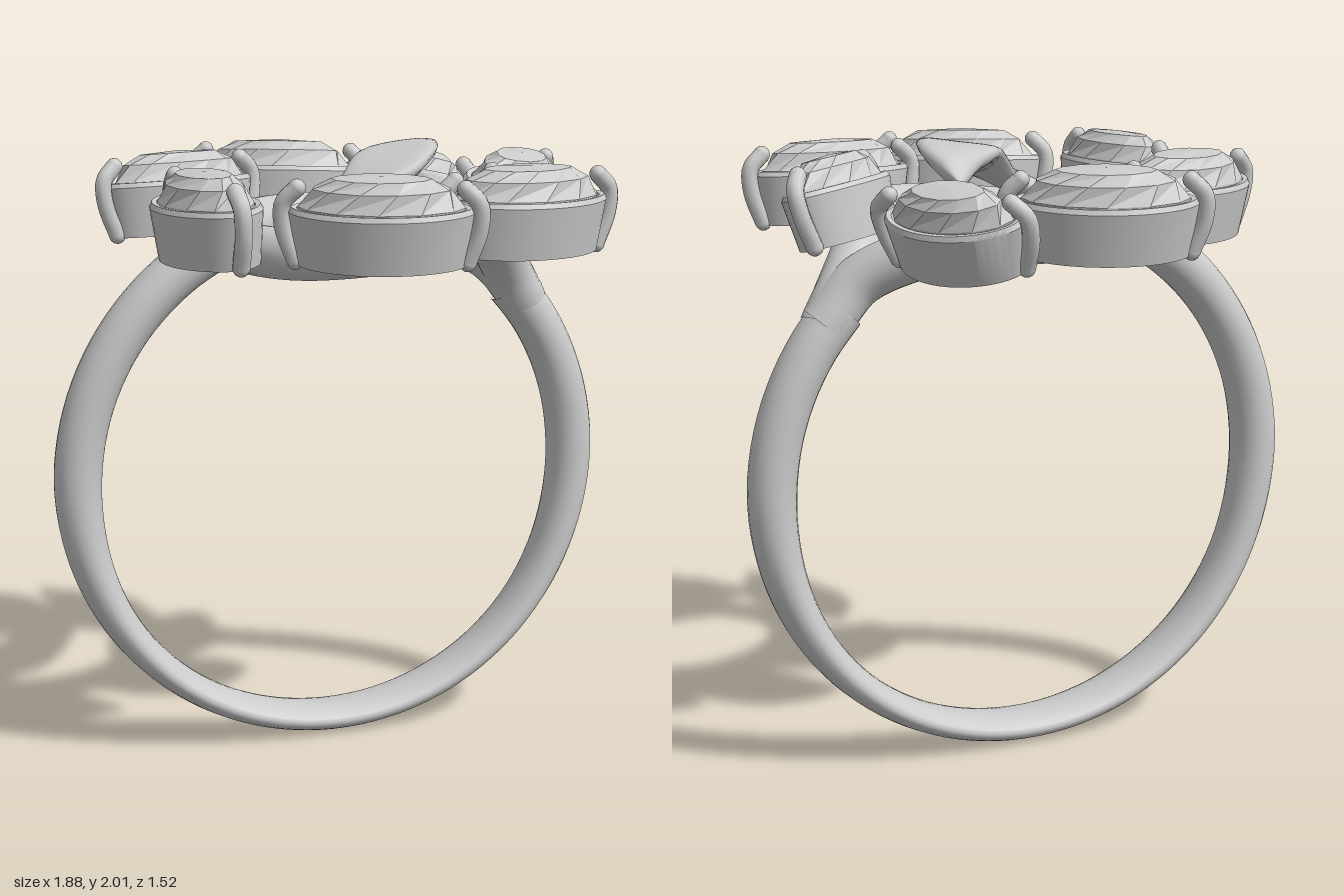
import * as THREE from 'three';
import { toCreasedNormals } from 'three/addons/utils/BufferGeometryUtils.js';

const V = (x, y, z) => new THREE.Vector3(x, y, z);
const metal = new THREE.MeshStandardMaterial({ color: 0xcccccc });
const faceted = new THREE.MeshStandardMaterial({ color: 0xcccccc, flatShading: true });

// Skin a list of equal-sized closed loops
function loft(rings) {
  const n = rings[0].length, pos = [], idx = [];
  rings.forEach(r => r.forEach(p => pos.push(p.x, p.y, p.z)));
  for (let i = 0; i < rings.length - 1; i++) {
    for (let j = 0; j < n; j++) {
      const a = i * n + j, b = i * n + (j + 1) % n;
      idx.push(a, b, b + n, a, b + n, a + n);
    }
  }
  const g = new THREE.BufferGeometry();
  g.setAttribute('position', new THREE.Float32BufferAttribute(pos, 3));
  g.setIndex(idx);
  g.computeVertexNormals();
  return g;
}

function mesh(name, geometry, material = metal) {
  const m = new THREE.Mesh(geometry, material);
  m.name = name;
  return m;
}

// Sweep an ellipse along a curve; size(t) gives [half size across, half size along up]
function sweep(curve, steps, up, size, sides = 20) {
  const rings = [];
  for (let i = 0; i <= steps; i++) {
    const t = i / steps, p = curve.getPoint(t), T = curve.getTangent(t);
    const B = up.clone().addScaledVector(T, -up.dot(T)).normalize();
    const A = B.clone().cross(T);
    const [ra, rb] = size(t);
    rings.push(Array.from({ length: sides }, (_, j) => {
      const a = j / sides * Math.PI * 2;
      return p.clone().addScaledVector(A, ra * Math.cos(a)).addScaledVector(B, rb * Math.sin(a));
    }));
  }
  return loft(rings);
}

// Pointed oval loop in the xz plane
function marquise(a, b, y, n, shift = 0) {
  return Array.from({ length: n }, (_, j) => {
    const t = (j + shift) / n * Math.PI * 2, s = Math.sin(t);
    return V(a * Math.cos(t), y, -b * s * Math.pow(Math.abs(s), 0.2));
  });
}

// Finger band: round at the sides, thinner and wider at the bottom
function makeBand() {
  const pts = [];
  for (let i = 0; i <= 32; i++) {
    const a = THREE.MathUtils.degToRad(118 + (402 - 118) * i / 32);
    const k = THREE.MathUtils.smoothstep(-Math.sin(a), -0.1, 1);
    const r = 0.863 + 0.032 * k - 0.025 * Math.max(0, Math.sin(a));
    pts.push(V(r * Math.cos(a), 0.94 + r * Math.sin(a), -0.1));
  }
  const curve = new THREE.CatmullRomCurve3(pts);
  return mesh('band', sweep(curve, 96, V(0, 0, 1), t => {
    const a = THREE.MathUtils.degToRad(118 + 284 * t);
    const k = THREE.MathUtils.smoothstep(-Math.sin(a), -0.1, 1);
    return [0.078 - 0.032 * k, 0.081 + 0.019 * k];
  }));
}

// Loop that rises from the band, circles the head and returns to the band
function makeSwirl() {
  const curve = new THREE.CatmullRomCurve3([
    [0.68, 1.46, -0.1], [0.57, 1.59, -0.11], [0.43, 1.67, -0.19], [0.26, 1.72, -0.31],
    [0.05, 1.73, -0.36], [-0.2, 1.73, -0.27], [-0.335, 1.71, -0.08], [-0.34, 1.7, 0.1],
    [-0.22, 1.7, 0.29], [0, 1.72, 0.385], [0.22, 1.74, 0.35], [0.41, 1.74, 0.2],
    [0.51, 1.68, 0.03], [0.61, 1.56, -0.07], [0.68, 1.45, -0.1],
  ].map(p => V(...p)));
  return mesh('swirl', sweep(curve, 120, V(0, 1, 0), () => [0.082, 0.08]));
}

// Arched crescent leaf across the opening, slightly hollow on top
function makeLeaf() {
  const outer = new THREE.CatmullRomCurve3([
    [-0.32, 1.7, 0.14], [-0.22, 1.79, 0.27], [-0.07, 1.87, 0.335], [0.13, 1.94, 0.295],
    [0.26, 1.98, 0.14], [0.345, 1.99, -0.05], [0.37, 1.97, -0.2], [0.33, 1.91, -0.34],
  ].map(p => V(...p)));
  const inner = new THREE.CatmullRomCurve3([
    [-0.31, 1.7, 0.1], [-0.23, 1.76, 0.16], [-0.12, 1.83, 0.18], [-0.04, 1.91, 0.11],
    [0.03, 1.95, 0], [0.11, 1.96, -0.12], [0.21, 1.95, -0.23], [0.32, 1.9, -0.34],
  ].map(p => V(...p)));
  const rings = [];
  for (let i = 0; i <= 48; i++) {
    const t = i / 48, o = outer.getPoint(t), n = inner.getPoint(t);
    const w = o.distanceTo(n);
    rings.push(Array.from({ length: 20 }, (_, j) => {
      const a = j / 20 * Math.PI * 2, u = (1 - Math.cos(a)) / 2;
      const p = o.clone().lerp(n, u);
      p.y -= Math.sin(a) * Math.min(0.045, w * 0.4) + 0.1 * w * 4 * u * (1 - u);
      return p;
    }));
  }
  const leaf = mesh('leaf', loft(rings));
  leaf.material = metal.clone();
  leaf.material.side = THREE.DoubleSide;
  return leaf;
}

// One pointed-oval setting with its stone and two claws; rim level is y = 0
function makeSetting(a, b) {
  const g = new THREE.Group();
  const n = 48, h = -0.17;
  const cup = [
    marquise(0.07, 0.05, h, n), marquise(a * 0.9, b * 0.88, h, n),
    marquise(a - 0.003, b - 0.003, -0.01, n), marquise(a - 0.012, b - 0.012, 0.005, n),
    marquise(a - 0.028, b - 0.028, 0.002, n), marquise(a - 0.034, b - 0.034, -0.03, n),
    marquise(0.07, 0.05, h + 0.04, n), marquise(0.07, 0.05, h, n),
  ];
  g.add(mesh('cup', toCreasedNormals(loft(cup), 0.6)));

  const sa = a - 0.03, sb = b - 0.03, m = 12;
  const gem = [
    marquise(0.001, 0.001, -0.14, m), marquise(sa, sb, -0.02, m), marquise(sa, sb, 0.005, m),
    marquise(sa * 0.84, sb * 0.82, 0.06, m, 0.5), marquise(sa * 0.6, sb * 0.58, 0.09, m, 1),
    marquise(0.001, 0.001, 0.097, m, 1),
  ];
  g.add(mesh('stone', loft(gem).toNonIndexed(), faceted));

  for (const s of [-1, 1]) {
    const path = new THREE.CatmullRomCurve3([
      V(s * (a * 0.9 + 0.005), h + 0.01, 0), V(s * (a + 0.012), -0.06, 0),
      V(s * (a + 0.012), 0.015, 0), V(s * (a - 0.03), 0.06, 0),
    ]);
    g.add(mesh('claw', new THREE.TubeGeometry(path, 14, 0.027, 10)));
    for (const t of [0, 1]) {
      const tip = mesh('clawTip', new THREE.SphereGeometry(0.027, 10, 8));
      tip.position.copy(path.getPoint(t));
      g.add(tip);
    }
  }
  return g;
}

export function createModel() {
  const model = new THREE.Group();
  model.name = 'ring';
  model.add(makeBand(), makeSwirl(), makeLeaf());

  // Claw positions (x, z, x, z), half width, rim height, outward tilt
  const settings = [
    [-0.71, -0.24, -0.19, -0.42, 0.155, 1.87, 0.1],
    [-0.29, -0.71, 0.22, -0.47, 0.155, 1.87, 0.12],
    [0.26, -0.65, 0.56, -0.31, 0.13, 1.83, 0.4],
    [0.77, -0.15, 0.39, 0.24, 0.155, 1.87, 0.25],
    [0.17, 0.47, 0.72, 0.43, 0.16, 1.87, 0.06],
    [-0.33, 0.47, 0.18, 0.69, 0.155, 1.87, 0.1],
    [-0.56, 0.015, -0.5, 0.57, 0.158, 1.87, 0.06],
  ];
  for (const [x1, z1, x2, z2, b, y, tilt] of settings) {
    const cx = (x1 + x2) / 2, cz = (z1 + z2) / 2;
    const s = makeSetting(Math.hypot(x2 - x1, z2 - z1) / 2, b);
    const ry = Math.atan2(z1 - z2, x2 - x1);
    const outward = Math.sign(Math.sin(ry) * cx + Math.cos(ry) * cz);
    s.name = 'setting';
    s.position.set(cx, y, cz);
    s.rotation.set(outward * tilt, ry, 0, 'YXZ');
    model.add(s);
  }
  return model;
}
